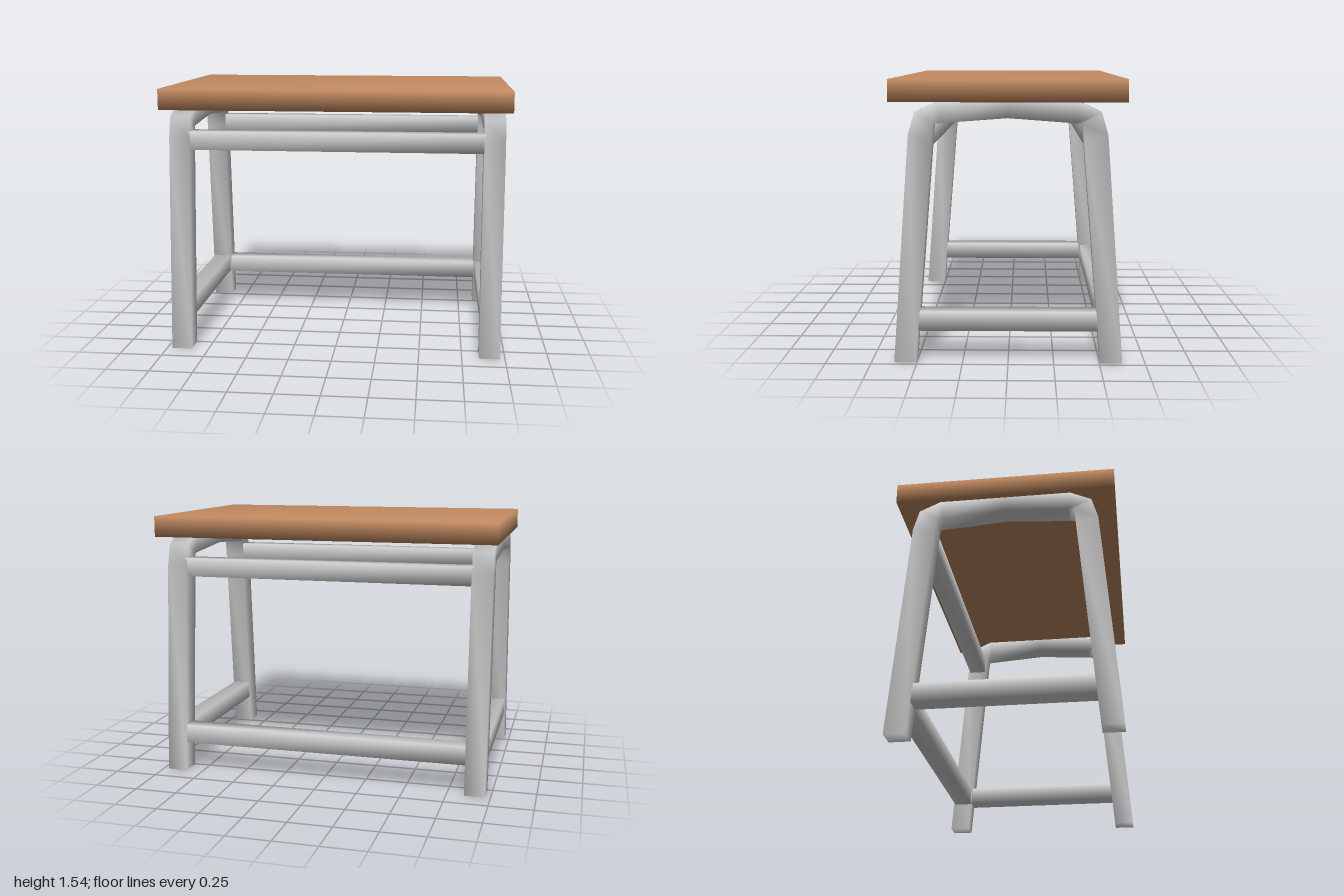
import * as THREE from 'three';
import { mergeVertices } from 'three/addons/utils/BufferGeometryUtils.js';

const grey = new THREE.MeshStandardMaterial({ color: 0xcccccc });
const wood = new THREE.MeshStandardMaterial({ color: 0xc48c62 });

// Box whose corners share normals, giving the soft shading of a rounded bar
function softBox(name, w, h, d, x, y, z, material = grey) {
  let geo = new THREE.BoxGeometry(w, h, d);
  geo.deleteAttribute('normal');
  geo.deleteAttribute('uv');
  geo = mergeVertices(geo);
  geo.computeVertexNormals();
  const mesh = new THREE.Mesh(geo, material);
  mesh.name = name;
  mesh.position.set(x, y, z);
  return mesh;
}

// Square-section arch: two splayed legs joined by a bent top bar
function archGeometry(width) {
  // [outer z, outer y, inner z, inner y] from the foot up to the middle
  const half = [
    [0.625, 0, 0.505, 0],
    [0.53, 1.25, 0.403, 1.22],
    [0.495, 1.37, 0.395, 1.31],
    [0.375, 1.425, 0.36, 1.313],
  ];
  const mirrored = half.map(([oz, oy, iz, iy]) => [-oz, oy, -iz, iy]).reverse();
  const stations = [...half, [0, 1.455, 0, 1.34], ...mirrored];

  const positions = [];
  const index = [];
  const x = width / 2;
  for (const [oz, oy, iz, iy] of stations) {
    positions.push(x, oy, oz, x, iy, iz, -x, iy, iz, -x, oy, oz);
  }
  for (let i = 0; i < stations.length - 1; i++) {
    for (let j = 0; j < 4; j++) {
      const a = i * 4 + j;
      const b = i * 4 + (j + 1) % 4;
      index.push(a, b, a + 4, b, b + 4, a + 4);
    }
  }
  // Foot ends
  const e = (stations.length - 1) * 4;
  index.push(0, 2, 1, 0, 3, 2, e, e + 1, e + 2, e, e + 2, e + 3);

  const geo = new THREE.BufferGeometry();
  geo.setAttribute('position', new THREE.Float32BufferAttribute(positions, 3));
  geo.setIndex(index);
  geo.computeVertexNormals();
  return geo;
}

export function createModel() {
  const group = new THREE.Group();
  group.name = 'stool';

  // Seat board
  group.add(softBox('seat', 2, 0.12, 1.26, 0, 1.485, 0, wood));

  // Leg arches with a low stretcher across each
  const arch = archGeometry(0.12);
  for (const [side, s] of [['left', 1], ['right', -1]]) {
    const legs = new THREE.Mesh(arch, grey);
    legs.name = side + 'LegArch';
    legs.position.x = s * 0.91;
    group.add(legs, softBox(side + 'Stretcher', 0.108, 0.108, 1.0, s * 0.91, 0.232, 0));
  }

  // Long rails under the seat and the low back stretcher
  group.add(
    softBox('frontRail', 1.72, 0.108, 0.108, 0, 1.237, 0.466),
    softBox('backRail', 1.72, 0.108, 0.108, 0, 1.237, -0.466),
    softBox('backStretcher', 1.72, 0.108, 0.108, 0, 0.225, -0.547),
  );
  return group;
}
